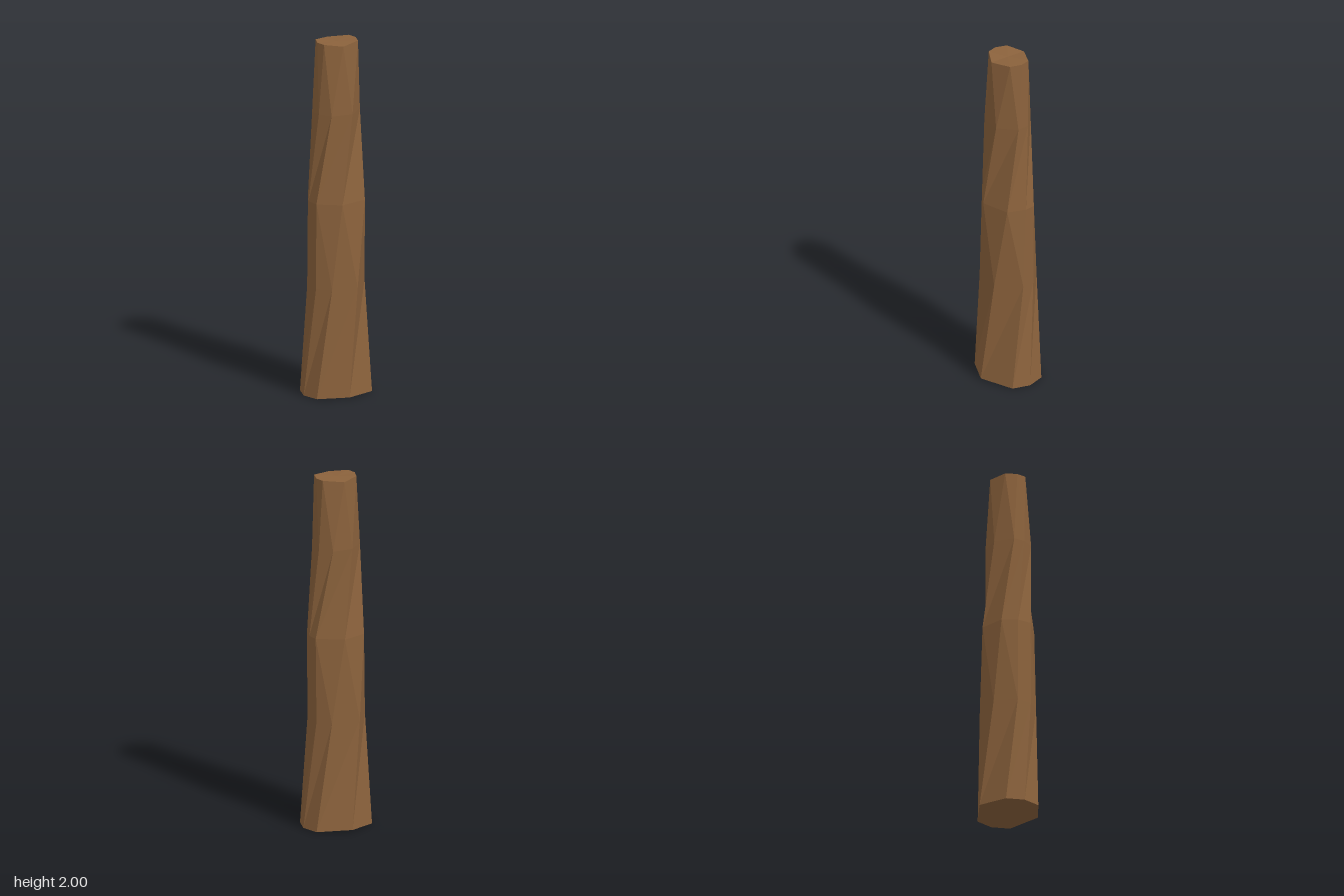
import * as THREE from 'three';

// Eight-sided rings as [x, z], starting at the front and going round by +x
const rings = [
  { y: 0.0, pts: [[-0.01, 0.178], [0.17, 0.098], [0.2, 0], [0.17, -0.1], [-0.01, -0.18], [-0.17, -0.1], [-0.2, 0], [-0.17, 0.098]] },
  { y: 0.62, pts: [[0.06, 0.14], [0.165, 0.02], [0.15, -0.06], [0.09, -0.128], [-0.08, -0.13], [-0.165, -0.025], [-0.155, 0.06], [-0.09, 0.125]] },
  { y: 1.1, pts: [[-0.035, 0.142], [0.125, 0.1], [0.163, 0], [0.155, -0.06], [0.02, -0.147], [-0.12, -0.102], [-0.16, -0.02], [-0.153, 0.06]] },
  { y: 1.6, pts: [[0.042, 0.113], [0.132, 0.028], [0.126, -0.042], [0.07, -0.103], [-0.045, -0.108], [-0.132, -0.03], [-0.125, 0.035], [-0.08, 0.1]] },
  { y: 1.99, pts: [[-0.01, 0.105], [0.102, 0.063], [0.122, -0.003], [0.11, -0.057], [0.003, -0.108], [-0.092, -0.065], [-0.115, -0.002], [-0.102, 0.053]] },
];
const SIDES = 8;

function trunkGeometry() {
  const positions = [];
  const index = [];
  rings.forEach(({ y, pts }, r) => {
    pts.forEach(([x, z]) => {
      // end rims dip slightly at the front and back
      let lift = 0;
      if (r === 0) lift = Math.abs(z) > 0.15 ? 0.013 : 0.004;
      if (r === rings.length - 1) lift = Math.abs(z) > 0.09 ? 0 : 0.009;
      positions.push(x, y + lift, z);
    });
  });

  // bark facets between neighbouring rings
  for (let r = 0; r < rings.length - 1; r++) {
    for (let i = 0; i < SIDES; i++) {
      const j = (i + 1) % SIDES;
      const b = r * SIDES + i, c = r * SIDES + j;
      const a = b + SIDES, d = c + SIDES;
      index.push(a, b, d, b, c, d);
    }
  }

  // end caps as fans around a centre point
  const bottom = positions.length / 3;
  positions.push(0, 0.008, 0, 0, 1.994, 0);
  const top = bottom + 1;
  const last = (rings.length - 1) * SIDES;
  for (let i = 0; i < SIDES; i++) {
    const j = (i + 1) % SIDES;
    index.push(bottom, j, i, top, last + i, last + j);
  }

  const indexed = new THREE.BufferGeometry();
  indexed.setAttribute('position', new THREE.Float32BufferAttribute(positions, 3));
  indexed.setIndex(index);
  const geometry = indexed.toNonIndexed();
  geometry.computeVertexNormals();
  return geometry;
}

export function createModel() {
  const model = new THREE.Group();
  model.name = 'woodenLog';
  const wood = new THREE.MeshStandardMaterial({ color: 0x8b623c, flatShading: true });
  const trunk = new THREE.Mesh(trunkGeometry(), wood);
  trunk.name = 'trunk';
  model.add(trunk);
  return model;
}
